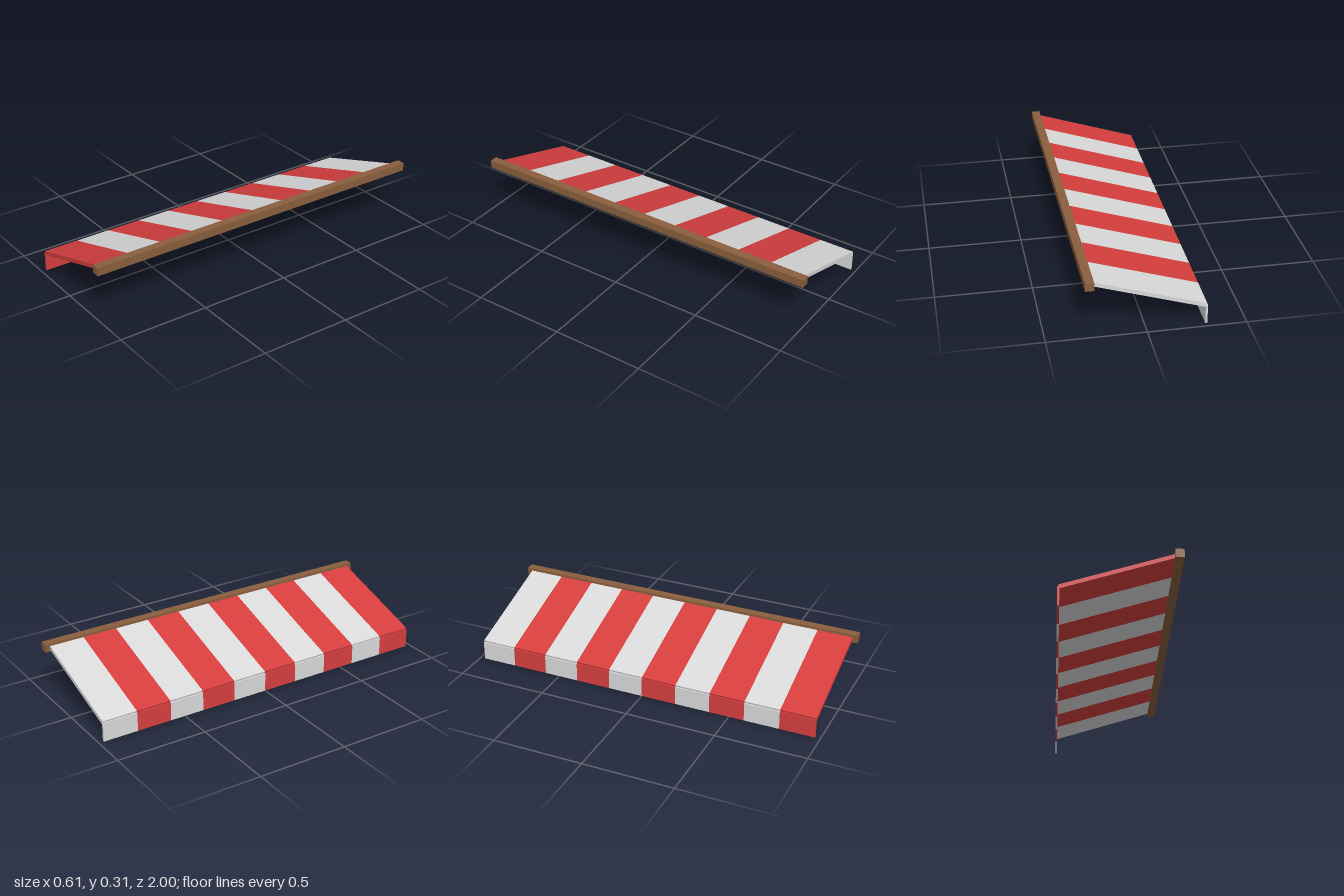
import * as THREE from 'three';

export function createModel() {
  const group = new THREE.Group();
  group.name = 'awning';

  const red = new THREE.MeshStandardMaterial({ color: 0xd63e3e });
  red.name = 'red cloth';
  const white = new THREE.MeshStandardMaterial({ color: 0xdadada });
  white.name = 'white cloth';
  const brown = new THREE.MeshStandardMaterial({ color: 0x8a5f3e });
  brown.name = 'brown wood';

  function box(name, size, position, material, tilt = 0) {
    const mesh = new THREE.Mesh(new THREE.BoxGeometry(...size), material);
    mesh.name = name;
    mesh.position.set(...position);
    mesh.rotation.z = tilt;
    group.add(mesh);
  }

  // Wooden rail along the high edge
  box('mountingRail', [0.045, 0.045, 2], [0.2825, 0.2865, 0], brown);

  // Sloping canopy and hanging valance, in alternating stripes
  const count = 10;
  const width = 1.945 / count;
  const low = new THREE.Vector2(-0.299, 0.1035);
  const high = new THREE.Vector2(0.2825, 0.2905);
  const slope = high.clone().sub(low);
  const middle = low.clone().add(high).multiplyScalar(0.5);
  for (let i = 0; i < count; i++) {
    const z = (i - (count - 1) / 2) * width;
    const material = i % 2 ? red : white;
    box('canopyStripe' + (i + 1), [slope.length(), 0.0215, width], [middle.x, middle.y, z], material, slope.angle());
    box('valanceStripe' + (i + 1), [0.011, 0.104, width], [-0.301, 0.052, z], material);
  }

  return group;
}
